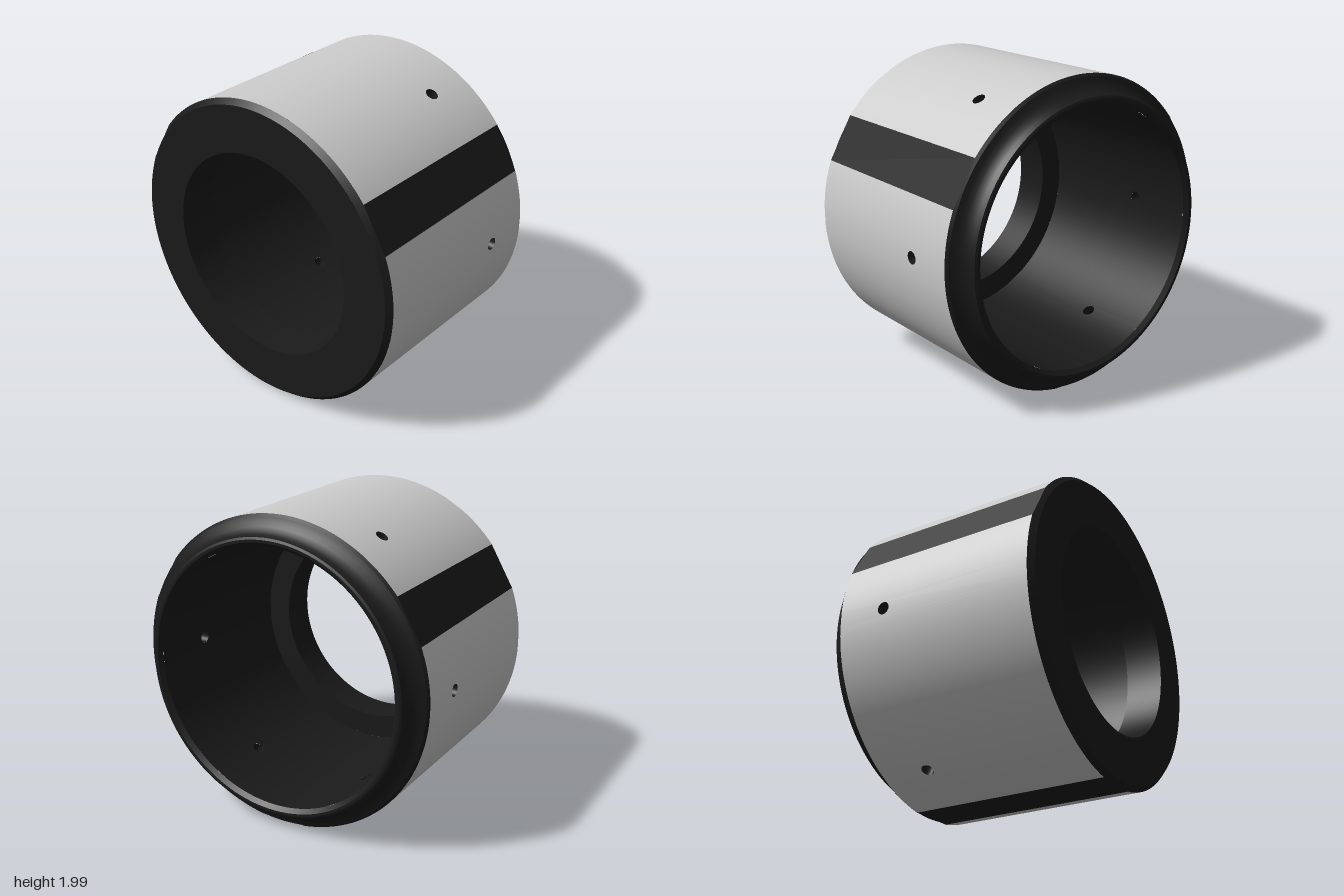
import * as THREE from 'three';
import { mergeGeometries } from 'three/addons/utils/BufferGeometryUtils.js';

const RAD = Math.PI / 180;
const R = 1, BORE = 0.83, OPENING = 0.67;
const HOLE_R = 0.04, HOLE_X = 0.285;
const FLAT_HALF = 9 * RAD, FLAT_DIST = R * Math.cos(FLAT_HALF);
const FLATS = [30, 150, 270].map((a) => a * RAD);
const SKIN = [-0.71, 0.61];       // extent of the outer wall along x
const BORE_SPAN = [-0.5, 0.715];  // extent of the inner wall along x

const grey = new THREE.MeshStandardMaterial({ color: 0xcccccc });
const dark = new THREE.MeshStandardMaterial({ color: 0x1a1a1a });
const darkThin = new THREE.MeshStandardMaterial({ color: 0x1a1a1a, side: THREE.DoubleSide });

// Ring turned about the x axis from [radius, x] points, trimmed by the three flats
function ring(points) {
  const profile = points.map(([r, x]) => new THREE.Vector2(r, x));
  const geo = new THREE.LatheGeometry(profile, 240).rotateZ(-Math.PI / 2);
  const p = geo.attributes.position;
  for (let i = 0; i < p.count; i++) {
    const y = p.getY(i), z = p.getZ(i), r = Math.hypot(y, z);
    for (const a of FLATS) {
      const depth = y * Math.sin(a) + z * Math.cos(a);
      if (depth > FLAT_DIST && r > FLAT_DIST) {
        const s = FLAT_DIST / depth;
        p.setXYZ(i, p.getX(i), y * s, z * s);
      }
    }
  }
  return geo;
}

// Curved wall sector around one hole: two plain strips and a pierced strip, bent onto radius r
function sector(r, [x0, x1], centre, from, to, outward) {
  const half = 0.06;
  const strip = (u0, u1) => new THREE.PlaneGeometry(u1 - u0, x1 - x0, 24, 1)
    .translate((u0 + u1) / 2, (x0 + x1) / 2, 0);
  const shape = new THREE.Shape([
    new THREE.Vector2(-half, x0), new THREE.Vector2(half, x0),
    new THREE.Vector2(half, x1), new THREE.Vector2(-half, x1)]);
  const hole = new THREE.Path();
  hole.absellipse(0, HOLE_X, HOLE_R / r, HOLE_R, 0, Math.PI * 2, true);
  shape.holes.push(hole);
  const dir = outward ? -1 : 1;
  const [lo, hi] = outward ? [-to, -from] : [from, to];
  const geo = mergeGeometries([strip(lo, -half), new THREE.ShapeGeometry(shape, 16), strip(half, hi)]);
  const p = geo.attributes.position, n = geo.attributes.normal;
  for (let i = 0; i < p.count; i++) {
    const a = centre + dir * p.getX(i), s = Math.sin(a), c = Math.cos(a);
    p.setXYZ(i, p.getY(i), r * s, r * c);
    n.setXYZ(i, 0, -dir * s, -dir * c);
  }
  return geo;
}

export function createModel() {
  const model = new THREE.Group();
  model.name = 'flangedSleeve';
  const add = (name, geometry, material) => {
    const mesh = new THREE.Mesh(geometry, material);
    mesh.name = name;
    mesh.position.y = FLAT_DIST;
    model.add(mesh);
  };

  // Outer and inner walls, each pierced by six radial holes with sleeves
  const outer = [], inner = [], sleeves = [];
  for (let k = 0; k < 6; k++) {
    const a = k * 60 * RAD;
    const [from, to] = k % 2 ? [-21, 30] : [-30, 21];
    outer.push(sector(R, SKIN, a, from * RAD, to * RAD, true));
    inner.push(sector(BORE, BORE_SPAN, a, -30 * RAD, 30 * RAD, false));
    sleeves.push(new THREE.CylinderGeometry(HOLE_R, HOLE_R, R - BORE, 32, 1, true)
      .rotateX(Math.PI / 2).translate(HOLE_X, 0, (R + BORE) / 2).rotateX(-a));
  }
  add('outerWall', mergeGeometries(outer), grey);
  add('bore', mergeGeometries(inner), dark);
  add('radialHoles', mergeGeometries(sleeves), darkThin);

  // Three flats along the outside
  const length = SKIN[1] - SKIN[0], mid = (SKIN[0] + SKIN[1]) / 2;
  add('flats', mergeGeometries(FLATS.map((a) =>
    new THREE.PlaneGeometry(length, 2 * R * Math.sin(FLAT_HALF))
      .translate(mid, 0, FLAT_DIST).rotateX(-a))), dark);

  // Open end: small chamfer, concave shoulder, nose and mouth bevel
  add('shoulder', mergeGeometries([
    ring([[R, 0.61], [0.985, 0.627]]),
    ring([[0.985, 0.627], [0.955, 0.64], [0.93, 0.658], [0.91, 0.68], [0.895, 0.705], [0.886, 0.735]]),
    ring([[0.886, 0.735], [0.872, 0.742]]),
    ring([[0.872, 0.742], [0.855, 0.742]]),
    ring([[0.855, 0.742], [BORE, BORE_SPAN[1]]])]), dark);

  // Flanged end: inner step, narrow opening, end face and chamfer
  add('endFlange', mergeGeometries([
    ring([[BORE, BORE_SPAN[0]], [OPENING, BORE_SPAN[0]]]),
    ring([[OPENING, BORE_SPAN[0]], [OPENING, -0.745]]),
    ring([[OPENING, -0.745], [0.968, -0.745]]),
    ring([[0.968, -0.745], [R, SKIN[0]]])]), dark);

  return model;
}
